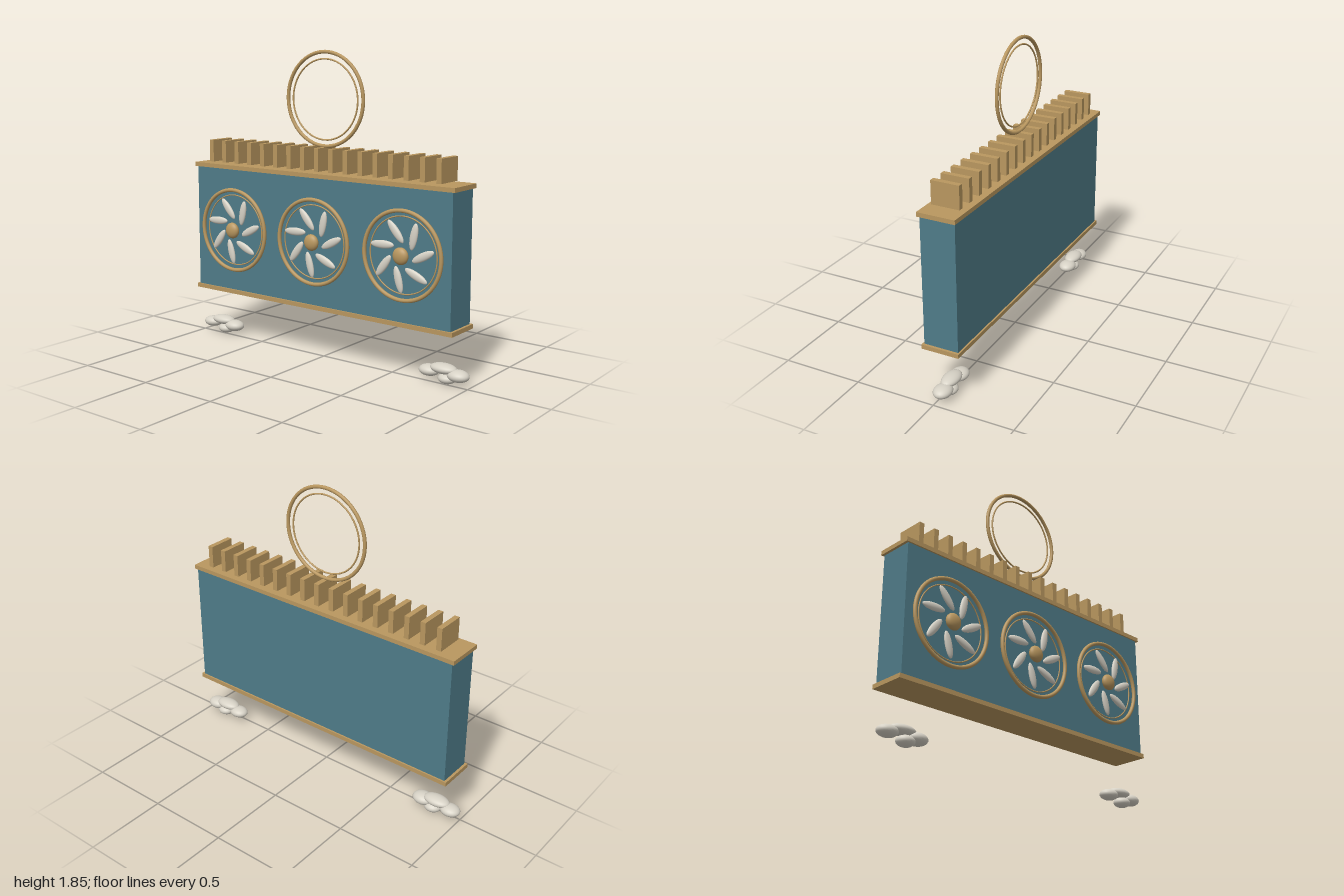
import * as THREE from 'three';

const brass = new THREE.MeshStandardMaterial({ name: 'brass', color: 0xb9975f });
const teal = new THREE.MeshStandardMaterial({ name: 'teal', color: 0x4f7b88 });
const ivory = new THREE.MeshStandardMaterial({ name: 'ivory', color: 0xd6d1c5 });

const CX = -0.01, CZ = -0.022;

function add(parent, name, geometry, material, x = 0, y = 0, z = 0) {
  const mesh = new THREE.Mesh(geometry, material);
  mesh.name = name;
  mesh.position.set(x, y, z);
  parent.add(mesh);
  return mesh;
}

const ellipsoid = (rx, ry, rz) => new THREE.SphereGeometry(1, 24, 16).scale(rx, ry, rz);
const ring = (radius, tube) => new THREE.TorusGeometry(radius, tube, 10, 64);

// Round fan ornament: two rings, seven slanted petals and a hub
function makeFan() {
  const fan = new THREE.Group();
  fan.name = 'fan';
  add(fan, 'fanOuterRing', ring(0.255, 0.012), brass, 0, 0, 0.098);
  add(fan, 'fanInnerRing', ring(0.222, 0.004), brass, 0, 0, 0.085);
  const petal = ellipsoid(0.079, 0.024, 0.014);
  for (let i = 0; i < 7; i++) {
    const a = 0.08 + (i / 7) * Math.PI * 2;
    const mesh = add(fan, 'petal', petal, ivory, Math.cos(a) * 0.14, Math.sin(a) * 0.14, 0.099);
    mesh.rotation.z = a + 0.4;
  }
  add(fan, 'hub', ellipsoid(0.05, 0.05, 0.028), brass, 0, 0, 0.11);
  return fan;
}

// Cloud foot: [x, y, rx, ry, rz] of each puff
function makeCloud() {
  const cloud = new THREE.Group();
  cloud.name = 'cloudFoot';
  const puffs = [
    [-0.003, 0.088, 0.085, 0.03, 0.05],
    [-0.097, 0.062, 0.063, 0.033, 0.052],
    [0.092, 0.062, 0.067, 0.035, 0.054],
    [0.021, 0.035, 0.054, 0.031, 0.05],
  ];
  for (const [x, y, rx, ry, rz] of puffs) {
    add(cloud, 'cloudPuff', ellipsoid(rx, ry, rz), ivory, x, y, 0);
  }
  return cloud;
}

export function createModel() {
  const model = new THREE.Group();
  model.name = 'ornamentalPanel';

  // Panel with top and bottom trim
  add(model, 'panel', new THREE.BoxGeometry(1.885, 0.77, 0.212), teal, CX, 0.725, CZ);
  const trim = new THREE.BoxGeometry(1.917, 0.026, 0.232);
  add(model, 'topTrim', trim, brass, CX, 1.123, CZ);
  add(model, 'bottomTrim', trim, brass, CX, 0.327, CZ);

  // Row of upright fins along the top
  const fin = new THREE.BoxGeometry(0.032, 0.138, 0.172);
  for (let i = 0; i < 17; i++) {
    add(model, 'fin', fin, brass, CX + (i - 8) * 0.105, 1.214, CZ);
  }

  // Double ring above the fins
  add(model, 'crownOuterRing', ring(0.277, 0.011), brass, CX, 1.566, CZ);
  add(model, 'crownInnerRing', ring(0.238, 0.005), brass, CX, 1.564, CZ);

  // Three fans across the front
  for (const i of [-1, 0, 1]) {
    const fan = makeFan();
    fan.position.set(CX + i * 0.63, 0.727, 0);
    model.add(fan);
  }

  // Cloud feet
  for (const x of [-0.845, 0.835]) {
    const cloud = makeCloud();
    cloud.position.set(x, 0, CZ);
    model.add(cloud);
  }
  return model;
}
